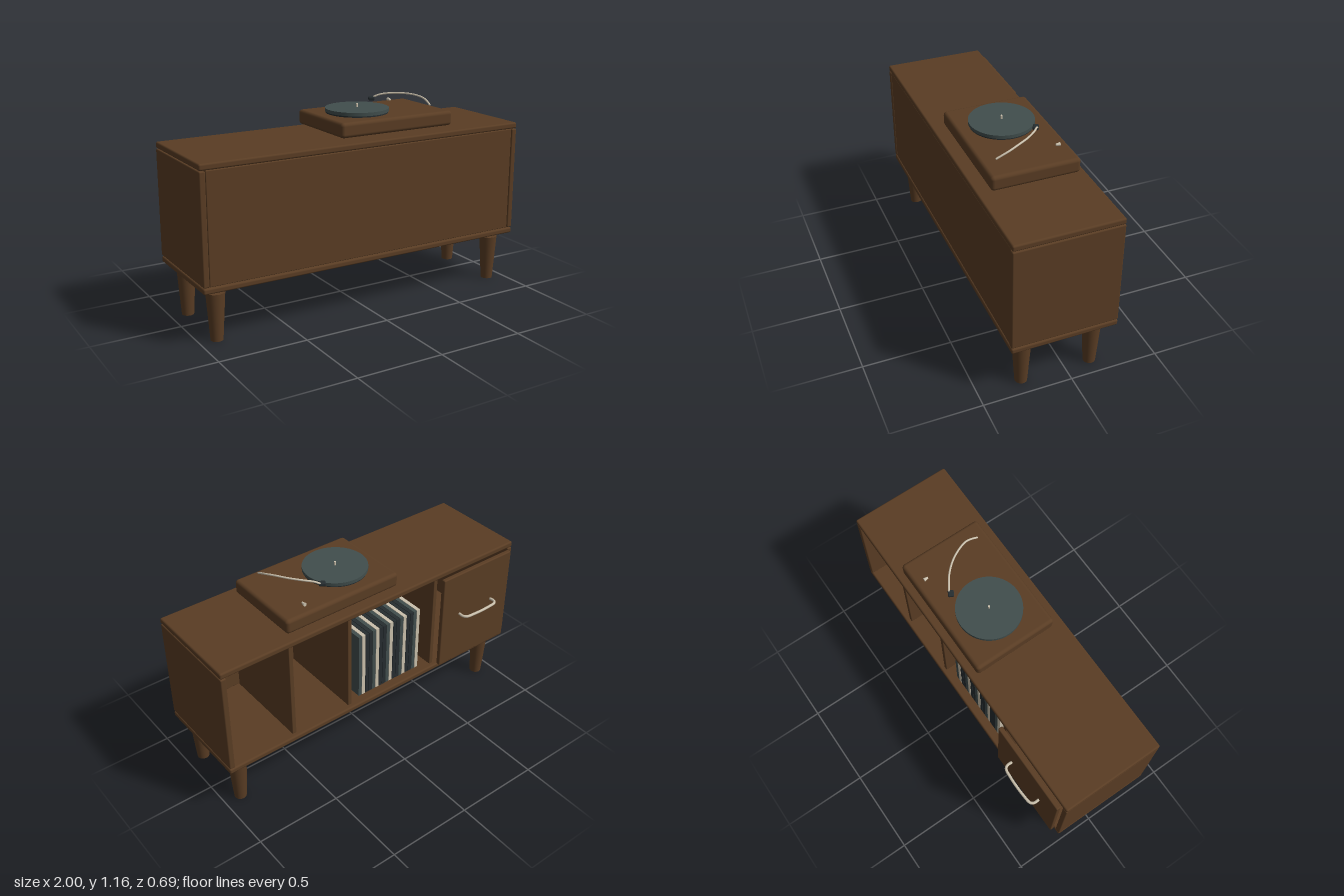
import * as THREE from 'three';
import { RoundedBoxGeometry } from 'three/addons/geometries/RoundedBoxGeometry.js';

const material = (name, color) => {
  const m = new THREE.MeshStandardMaterial({ color });
  m.name = name;
  return m;
};

export function createModel() {
  const model = new THREE.Group();
  model.name = 'recordConsole';
  const wood = material('walnut', 0x5a3d24);
  const teal = material('slate teal', 0x414e4d);
  const dark = material('charcoal', 0x262d30);
  const cream = material('cream', 0xcbc1ad);

  const add = (name, geometry, mat, x = 0, y = 0, z = 0, parent = model) => {
    const mesh = new THREE.Mesh(geometry, mat);
    mesh.name = name;
    mesh.position.set(x, y, z);
    parent.add(mesh);
    return mesh;
  };
  // Rounded board given by its minimum and maximum corners
  const board = (name, a, b, mat, radius = 0.007, parent = model) => {
    const s = a.map((v, i) => b[i] - v);
    const c = a.map((v, i) => (v + b[i]) / 2);
    return add(name, new RoundedBoxGeometry(s[0], s[1], s[2], 3, radius), mat, ...c, parent);
  };
  const tube = (name, points, radius, mat) => {
    const curve = new THREE.CatmullRomCurve3(points.map(p => new THREE.Vector3(...p)));
    add(name, new THREE.TubeGeometry(curve, 40, radius, 10), mat);
    // Rounded ends close the tube
    for (const p of [points[0], points[points.length - 1]]) {
      add(name + 'End', new THREE.SphereGeometry(radius, 10, 8), mat, ...p);
    }
  };

  // Cabinet shell
  board('bottomBoard', [-1, 0.296, -0.25], [1, 0.329, 0.345], wood, 0.01);
  board('topBoard', [-1, 0.939, -0.25], [1, 0.974, 0.345], wood, 0.01);
  for (const s of [-1, 1]) {
    board('sidePanel', [s * 0.983 - 0.0165, 0.333, -0.25], [s * 0.983 + 0.0165, 0.936, 0.345], wood);
  }
  board('longPanel', [-0.964, 0.333, 0.315], [0.964, 0.937, 0.341], wood, 0.004);

  // Dividers between the compartments
  for (const x of [0.57, 0.187, -0.425]) {
    board('divider', [x - 0.013, 0.329, -0.225], [x + 0.013, 0.939, 0.315], wood, 0.004);
  }

  // Tapered legs
  for (const x of [-0.9, 0.9]) {
    for (const z of [-0.15, 0.25]) {
      add('leg', new THREE.CylinderGeometry(0.052, 0.034, 0.268, 32), wood, x, 0.134, z);
    }
  }

  // Door and its bowed handle
  board('door', [-0.96, 0.338, -0.281], [-0.44, 0.937, -0.254], wood);
  tube('doorHandle', [
    [-0.825, 0.659, -0.279], [-0.825, 0.659, -0.312], [-0.812, 0.659, -0.329],
    [-0.76, 0.659, -0.336], [-0.7, 0.659, -0.338], [-0.64, 0.659, -0.336],
    [-0.588, 0.659, -0.329], [-0.575, 0.659, -0.312], [-0.575, 0.659, -0.279],
  ], 0.008, cream);

  // Row of record sleeves
  const records = new THREE.Group();
  records.name = 'records';
  model.add(records);
  const sleeveColors = [teal, cream, dark, dark];
  const count = 18, pitch = 0.446 / count;
  for (let i = 0; i < count; i++) {
    add('recordSleeve', new THREE.BoxGeometry(pitch - 0.003, 0.415, 0.41), sleeveColors[i % 4],
      0.104 - pitch * (i + 0.5), 0.538, 0.008, records);
  }

  // Turntable
  board('turntableBase', [-0.155, 0.99, -0.211], [0.575, 1.074, 0.28], wood, 0.02);
  add('platter', new THREE.CylinderGeometry(0.18, 0.18, 0.019, 64), teal, 0.09, 1.0915, 0.031);
  add('platterRim', new THREE.CylinderGeometry(0.176, 0.176, 0.01, 64), dark, 0.09, 1.078, 0.031);
  add('spindle', new THREE.CylinderGeometry(0.006, 0.006, 0.022, 16), cream, 0.09, 1.111, 0.031);

  // Tonearm with its dark head
  tube('tonearm', [
    [0.272, 1.118, -0.1], [0.305, 1.136, -0.078], [0.35, 1.146, -0.045], [0.405, 1.151, 0.015],
    [0.445, 1.148, 0.085], [0.465, 1.137, 0.14], [0.467, 1.124, 0.175], [0.464, 1.107, 0.21],
  ], 0.0055, cream);
  const head = board('tonearmHead', [0.248, 1.106, -0.107], [0.284, 1.127, -0.075], dark, 0.006);
  head.position.z = -0.092;
  head.rotation.y = -0.5;

  // Small control knob
  const knob = add('knob', new THREE.CylinderGeometry(0.006, 0.01, 0.024, 16), cream, 0.425, 1.088, -0.147);
  knob.rotation.x = Math.PI / 2;

  return model;
}
